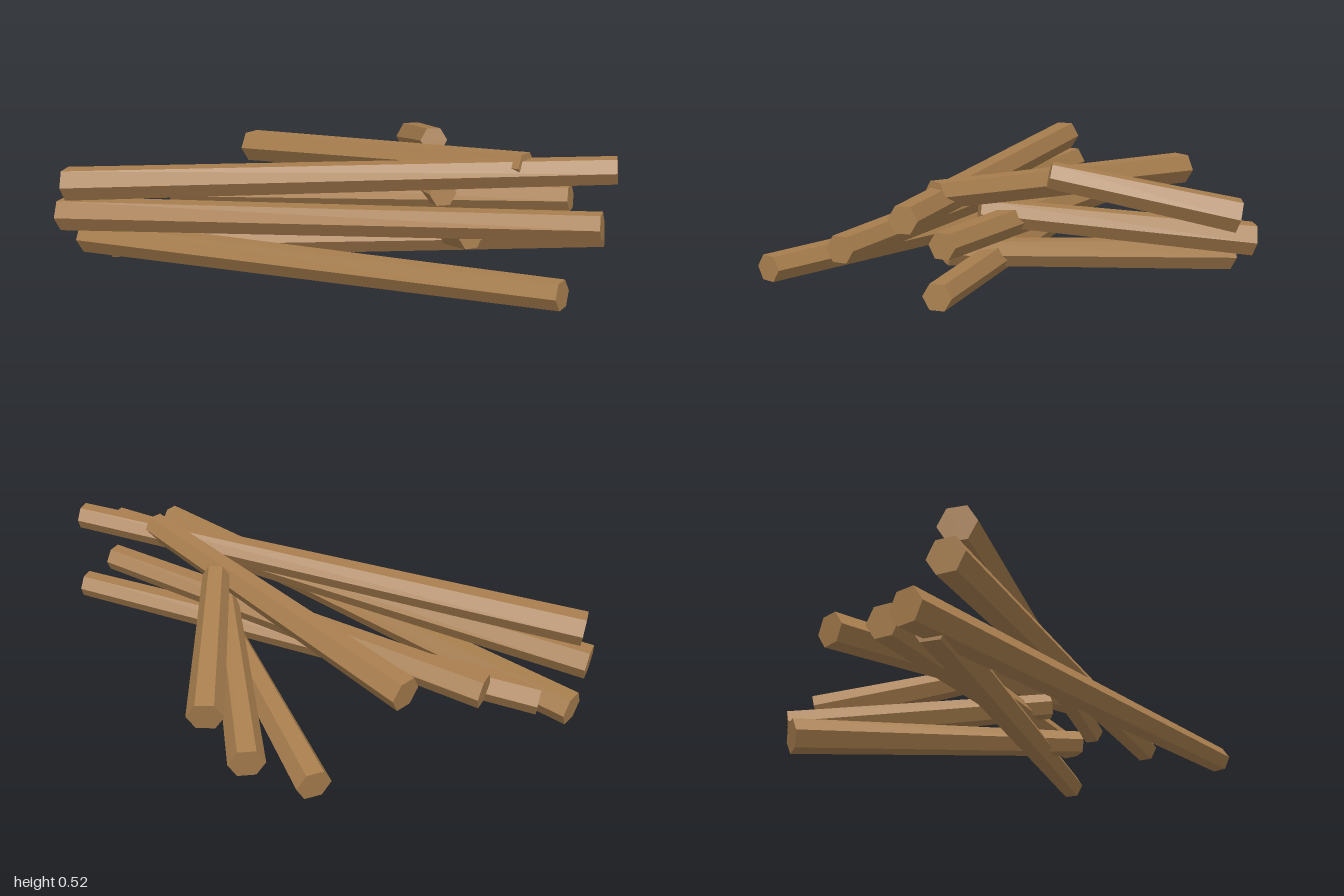
import * as THREE from 'three';

const barkBrown = new THREE.MeshStandardMaterial({ color: 0xa87e4e, flatShading: true });
barkBrown.name = 'barkBrown';

// Tapered six-sided log from a thick end to a thin end, with a flat side facing up
function makeLog(name, from, to) {
  const a = new THREE.Vector3(...from);
  const b = new THREE.Vector3(...to);
  const along = b.clone().sub(a);
  const geometry = new THREE.CylinderGeometry(0.05, 0.065, along.length(), 6);
  along.normalize();
  const side = along.clone().cross(new THREE.Vector3(0, 1, 0)).normalize();
  const up = along.clone().cross(side);
  const log = new THREE.Mesh(geometry, barkBrown);
  log.name = name;
  log.quaternion.setFromRotationMatrix(new THREE.Matrix4().makeBasis(up, along, side));
  log.position.copy(a).add(b).multiplyScalar(0.5);
  return log;
}

// Thick and thin end of every log, layer by layer from the ground up
const layers = {
  bottom: [
    [[-0.995, 0.06, 0.48], [0.99, 0.225, 0.487]],
    [[-0.87, 0.06, 0.47], [0.87, 0.22, -0.155]],
    [[-0.51, 0.06, -0.46], [0.49, 0.22, 0.125]],
  ],
  middle: [
    [[-0.98, 0.19, 0.615], [0.98, 0.35, 0.155]],
    [[-0.775, 0.2, 0.197], [0.765, 0.35, -0.09]],
    [[-0.36, 0.19, -0.635], [0.355, 0.345, 0.085]],
  ],
  top: [
    [[-0.94, 0.315, 0.625], [0.935, 0.477, -0.08]],
    [[-0.66, 0.33, -0.15], [0.65, 0.477, 0.035]],
    [[-0.2, 0.32, -0.655], [0.205, 0.475, -0.115]],
  ],
};

export function createModel() {
  const pile = new THREE.Group();
  pile.name = 'logPile';
  for (const [layer, logs] of Object.entries(layers)) {
    const group = new THREE.Group();
    group.name = `${layer}Layer`;
    logs.forEach(([from, to], i) => group.add(makeLog(`${layer}Log${i + 1}`, from, to)));
    pile.add(group);
  }
  return pile;
}
